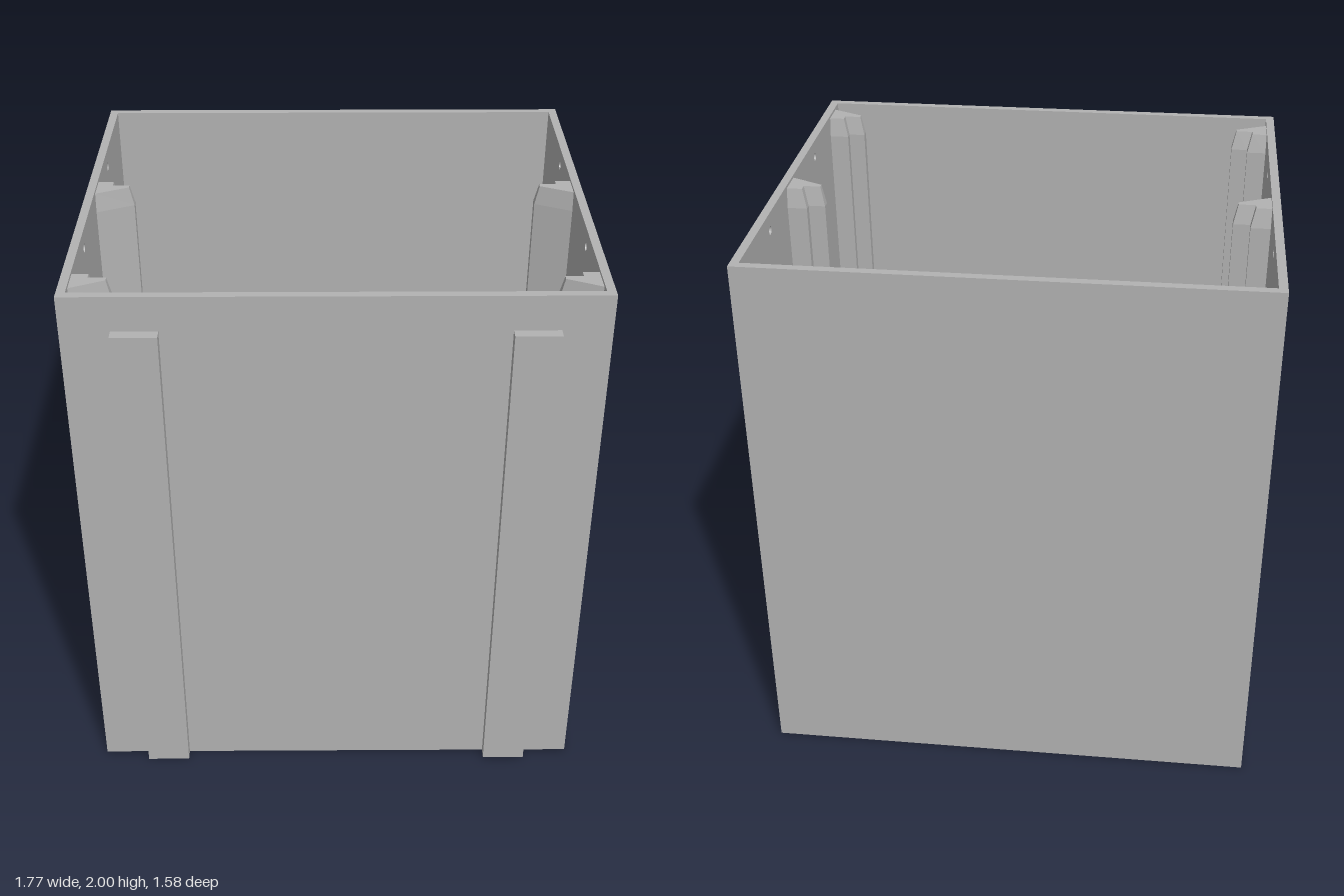
import * as THREE from 'three';

export function createModel() {
  const model = new THREE.Group();
  const grey = new THREE.MeshStandardMaterial({ color: 0xb2b2b2 });
  const HX = 0.885, BACK = -0.79, FRONT = 0.75, WALL = 0.03, FLOOR = 0.035;
  const MID = (BACK + FRONT) / 2, INNER = HX - WALL;

  function add(name, geometry, x = 0, y = 0, z = 0) {
    const mesh = new THREE.Mesh(geometry, grey);
    mesh.name = name;
    mesh.position.set(x, y, z);
    model.add(mesh);
    return mesh;
  }
  // box given by its minimum and maximum corners
  function block(name, [x0, y0, z0], [x1, y1, z1]) {
    add(name, new THREE.BoxGeometry(x1 - x0, y1 - y0, z1 - z0),
      (x0 + x1) / 2, (y0 + y1) / 2, (z0 + z1) / 2);
  }
  const rect = (x0, y0, x1, y1) => new THREE.Shape([
    new THREE.Vector2(x0, y0), new THREE.Vector2(x1, y0),
    new THREE.Vector2(x1, y1), new THREE.Vector2(x0, y1)]);
  const hole = (x, y, r) => new THREE.Path().absarc(x, y, r, 0, Math.PI * 2, true);
  const extrude = (shape, depth, segments) =>
    new THREE.ExtrudeGeometry(shape, { depth, bevelEnabled: false, curveSegments: segments });

  // floor with the large opening and four screw holes (shape y is -z)
  const floor = rect(-INNER, -FRONT + WALL, INNER, -BACK - WALL);
  floor.holes.push(hole(0, 0.02, 0.6));
  for (const x of [-0.54, 0.54])
    for (const z of [-0.565, 0.52]) floor.holes.push(hole(x, -z, 0.025));
  add('floor', extrude(floor, FLOOR, 48).rotateX(-Math.PI / 2));

  // front and back walls
  block('frontWall', [-INNER, 0, FRONT - WALL], [INNER, 2, FRONT]);
  block('backWall', [-INNER, 0, BACK], [INNER, 2, BACK + WALL]);

  // side walls: inner layer, and outer layer cut by the arrow recess (shape x is -z)
  function sideLayer(recessed) {
    const s = rect(-FRONT, 0, -BACK, 2);
    for (const z of [0.295, -0.38]) s.holes.push(hole(-z, 1.94, 0.015));
    if (recessed) s.holes.push(new THREE.Path([
      new THREE.Vector2(-0.045, 1.035), new THREE.Vector2(-0.045, 1.245),
      new THREE.Vector2(0.165, 1.14)]));
    return extrude(s, WALL / 2, 12).rotateY(Math.PI / 2);
  }

  // stepped guide rail lofted from cross-sections of [distance from wall, z]
  const lower = [[0, -0.142], [0.07, -0.142], [0.07, -0.115], [0.13, -0.115], [0.13, -0.085], [0, -0.025]];
  const upper = [[0, -0.13], [0.055, -0.13], [0.055, -0.103], [0.115, -0.103], [0.115, -0.085], [0, -0.032]];
  function railGeometry(side) {
    const rings = [[FLOOR, lower], [1.92, lower], [1.99, upper]].map(([y, ring]) =>
      ring.map(([d, z]) => [side * (INNER - d), y, z]));
    const pos = [];
    const tri = (a, b, c) => pos.push(...a, ...(side > 0 ? [...c, ...b] : [...b, ...c]));
    for (let r = 0; r < 2; r++)
      for (let i = 0; i < 6; i++) {
        const j = (i + 1) % 6, [p, q] = [rings[r], rings[r + 1]];
        tri(p[i], q[i], q[j]);
        tri(p[i], q[j], p[j]);
      }
    const faces = THREE.ShapeUtils.triangulateShape(upper.map(p => new THREE.Vector2(...p)), []);
    const top = rings[2];
    for (const [a, b, c] of faces) tri(top[a], top[c], top[b]);
    const g = new THREE.BufferGeometry();
    g.setAttribute('position', new THREE.Float32BufferAttribute(pos, 3));
    g.computeVertexNormals();
    return g;
  }

  for (const side of [1, -1]) {
    const label = side > 0 ? 'left' : 'right';
    add(label + 'WallOuter', sideLayer(true), side > 0 ? HX - WALL / 2 : -HX);
    add(label + 'WallInner', sideLayer(false), side > 0 ? INNER : -HX + WALL / 2);

    // two guide rails, each with a stop block at its foot
    for (const z of [0, 0.705]) {
      add(label + 'GuideRail', railGeometry(side), 0, 0, z);
      const a = side * INNER, b = side * (INNER - 0.12);
      block(label + 'RailStop', [Math.min(a, b), FLOOR, z - 0.167], [Math.max(a, b), 0.42, z - 0.11]);
    }

    // raised strip on the front
    const c = side * 0.643;
    block(label + 'FrontStrip', [c - 0.077, 0, FRONT], [c + 0.077, 1.875, 0.79]);
  }
  return model;
}
